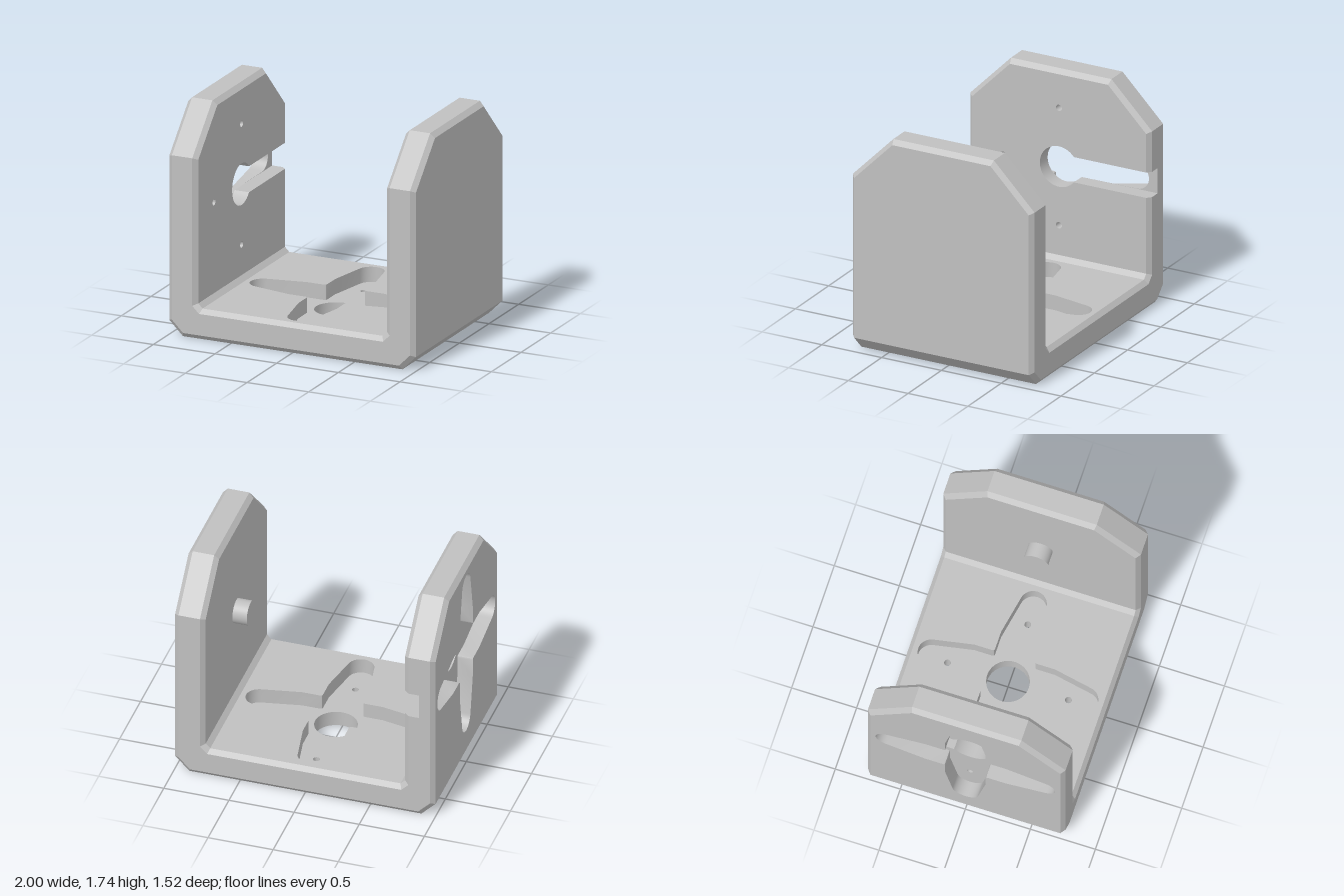
import * as THREE from 'three';
import { toCreasedNormals } from 'three/addons/utils/BufferGeometryUtils.js';

const T = 0.235, D = T / 2;          // sheet thickness, pocket depth
const AXIS_Y = 0.97, BORE = 0.16, SLOT = 0.1, PIN = 0.025, PIN_AT = 0.465;
const grey = new THREE.MeshStandardMaterial({ color: 0xc0c0c0, side: THREE.DoubleSide });
grey.name = 'grey';

function add(parent, name, geometry) {
  const mesh = new THREE.Mesh(geometry, grey);
  mesh.name = name;
  parent.add(mesh);
  return mesh;
}

// Quads between two rows of 3D points
function ribbon(a, b, closed = true, skip = -1) {
  const pos = [], n = a.length;
  for (let i = 0; i < (closed ? n : n - 1); i++) {
    if (i === skip) continue;
    const j = (i + 1) % n;
    pos.push(...a[i], ...a[j], ...b[j], ...a[i], ...b[j], ...b[i]);
  }
  const g = new THREE.BufferGeometry();
  g.setAttribute('position', new THREE.Float32BufferAttribute(pos, 3));
  return toCreasedNormals(g, 0.5);
}

// Flat face with holes at height z, looking along +z or -z
function face(outline, holes, z, back = false) {
  const v = (p) => p.map(([x, y]) => new THREE.Vector2(x, y));
  const shape = new THREE.Shape(v(outline));
  shape.holes = holes.map((h) => new THREE.Path(v(h)));
  const g = new THREE.ShapeGeometry(shape).translate(0, 0, z);
  if (back) {
    g.setIndex(Array.from(g.index.array).reverse());
    g.computeVertexNormals();
  }
  return g;
}

function arc(cx, cy, r, from, to, n) {
  return Array.from({ length: n + 1 }, (_, i) => {
    const t = from + (to - from) * i / n;
    return [cx + r * Math.cos(t), cy + r * Math.sin(t)];
  });
}
const circle = (cx, cy, r, n) => arc(cx, cy, r, 0, 2 * Math.PI, n).slice(0, -1);
const at = (pts, z) => pts.map(([x, y]) => [x, y, z]);

// Four-armed pocket outline
function starOutline() {
  const tip = Math.PI / 2 - 0.18;
  const arm = [[0.31, -0.155], ...arc(0.59, 0, 0.1, -tip, tip, 16), [0.31, 0.155],
    [0.17, 0.155], [0.159, 0.159], [0.155, 0.17]];
  return [0, 1, 2, 3].flatMap((k) => {
    const c = [1, 0, -1, 0][k], s = [0, 1, 0, -1][k];
    return arm.map(([x, y]) => [x * c - y * s, x * s + y * c]);
  });
}

// Panel with star pocket on its +z side; optional peg slot on its -z side
function pocketPanel(name, near, far, slotted) {
  const g = new THREE.Group();
  g.name = name;
  const star = starOutline();
  const pins = [[PIN_AT, 0], [0, PIN_AT], [0, -PIN_AT]].concat(slotted ? [] : [[-PIN_AT, 0]])
    .map(([x, y]) => circle(x, y, PIN, 16));
  add(g, 'pocketFace', face(near, [star], 0));
  add(g, 'pocketWall', ribbon(at(star, 0), at(star, -D)));
  pins.forEach((p) => add(g, 'pinHole', ribbon(at(p, -D), at(p, -T))));
  if (!slotted) {
    const bore = circle(0, 0, BORE, 48);
    add(g, 'pocketFloor', face(star, [bore, ...pins], -D));
    add(g, 'farFace', face(far, [bore, ...pins], -T, true));
    add(g, 'bore', ribbon(at(bore, -D), at(bore, -T)));
    return g;
  }
  // Bore that runs into a slot open at the -x edge
  const a = Math.PI - Math.asin(SLOT / BORE);
  const boreArc = arc(0, 0, BORE, a, -a, 40);
  const keyhole = [...boreArc, ...arc(-0.59, 0, 0.0975, -Math.PI / 2, -1.5 * Math.PI, 16)];
  add(g, 'pocketFloor', face(star, [keyhole, ...pins], -D));
  const notch = [[-0.73, SLOT], ...boreArc, [-0.73, -SLOT]];
  add(g, 'farFace', face([...far, ...notch], pins, -T, true));
  const ends = (z) => [[-0.76, SLOT, z], [-0.76, -SLOT, z]];
  const [a0, a1] = ends(-D), [b0, b1] = ends(-T + 0.035);
  add(g, 'slotWall', ribbon([b0, ...at(notch, -T), b1], [a0, ...at(notch, -D), a1], false));
  add(g, 'slotFloor', face([[-0.76, SLOT], [-0.76, -SLOT],
    ...arc(-0.59, 0, 0.1, -Math.PI / 2, -1.5 * Math.PI, 16)], [], -D, true));
  return g;
}

// Wall face outline about the axis height, starting and ending at the -x edge
const wallOutline = (low) => [[-0.73, low], [0.73, low], [0.73, 1.375], [0.41, 1.7],
  [-0.41, 1.7], [-0.73, 1.375]].map(([z, y]) => [z, y - AXIS_Y]);
const rect = (x, y) => [[-x, -y], [x, -y], [x, y], [-x, y]];

export function createModel() {
  const model = new THREE.Group();
  model.name = 'bracket';

  // Edge loops around the U: top, shoulder, wall foot, base corner
  const outer = [[1, 1.7, 0.41], [1, 1.375, 0.73], [1, 0.11, 0.73], [0.89, 0, 0.73]];
  const outerRim = [[0.965, 1.735, 0.42], [0.965, 1.39, 0.76], [0.965, 0.125, 0.76], [0.875, 0.035, 0.76]];
  const innerRim = [[0.8, 1.735, 0.42], [0.8, 1.39, 0.76], [0.8, 0.255, 0.76], [0.745, 0.2, 0.76]];
  const inner = [[0.765, 1.7, 0.41], [0.765, 1.375, 0.73], [0.765, 0.27, 0.73], [0.73, 0.235, 0.73]];
  const middle = outerRim.map((p, i) => p.map((v, k) => (v + innerRim[i][k]) / 2));
  const leg = (q, sx, sz) => q.map(([x, y, z]) => [x * sx, y, z * sz]);
  const loop = (q) => {
    const back = leg(q, -1, -1);
    const [x, , z] = back[1];
    back.splice(2, 0, [x, AXIS_Y + SLOT, z], [x, AXIS_Y - SLOT, z]);
    return [...leg(q, 1, 1), ...leg(q, -1, 1).reverse(), ...back, ...leg(q, 1, -1).reverse()];
  };
  const loops = [outer, outerRim, middle, innerRim, inner].map(loop);
  const names = ['outerChamfer', 'outerEdge', 'innerEdge', 'innerChamfer'];
  // The slot mouth interrupts the two inner strips
  names.forEach((n, i) => add(model, n, ribbon(loops[i + 1], loops[i], true, i > 1 ? 10 : -1)));

  // Slanted corners between walls and base
  for (const s of [1, -1]) {
    for (const [q, n, dir] of [[outer, 'outerCorner', s], [inner, 'innerCorner', -s]]) {
      const pair = q.slice(2);
      add(model, n, ribbon(leg(pair, s, dir), leg(pair, s, -dir), false));
    }
  }

  // Base with pocket on top
  const base = pocketPanel('base', rect(0.73, 0.73), rect(0.89, 0.73), false);
  base.rotation.x = -Math.PI / 2;
  base.position.y = T;
  model.add(base);

  // Right wall with pocket outside and peg slot inside
  const slotWall = pocketPanel('rightWall', wallOutline(0.11), wallOutline(0.27), true);
  slotWall.rotation.y = -Math.PI / 2;
  slotWall.position.set(-1, AXIS_Y, 0);
  model.add(slotWall);

  // Left wall, plain, with a peg inside
  const plain = new THREE.Group();
  plain.name = 'leftWall';
  add(plain, 'outerFace', face(wallOutline(0.11), [], 0));
  add(plain, 'innerFace', face(wallOutline(0.27), [], -T, true));
  const peg = add(plain, 'peg', new THREE.CylinderGeometry(0.093, 0.093, 0.11, 40));
  peg.rotation.x = Math.PI / 2;
  peg.position.z = -T - 0.055;
  plain.rotation.y = Math.PI / 2;
  plain.position.set(1, AXIS_Y, 0);
  model.add(plain);

  return model;
}
